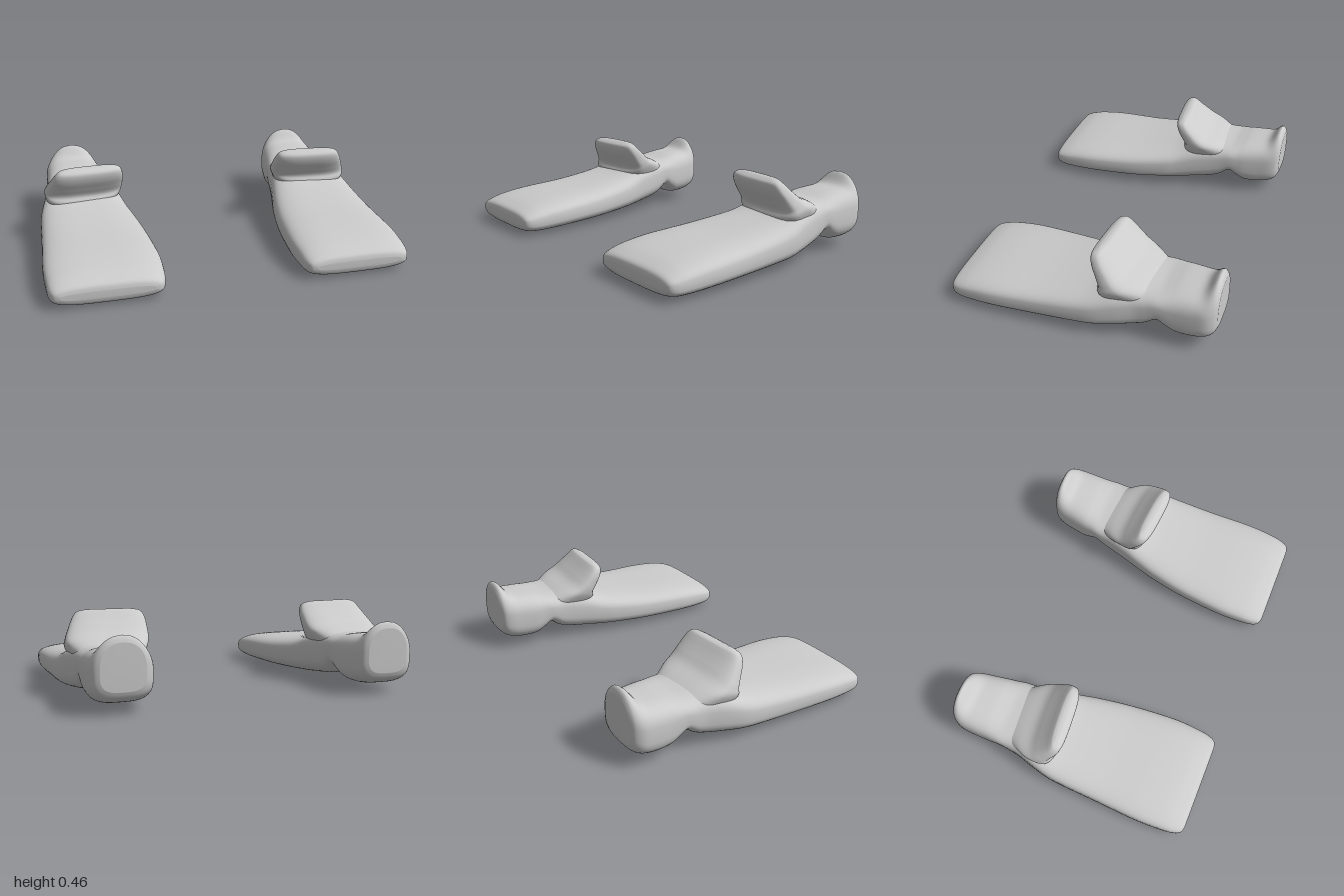
import * as THREE from 'three';

const material = new THREE.MeshStandardMaterial({ color: 0xcccccc });
const SIDES = 48, STEPS = 6;

// Each section: [zA, yA, zB, yB, xInner, xOuter]; A is the lower/front point, B the upper/back one
const section = (z, bottom, top, x0, x1) => [z, bottom, z, top, x0, x1];

const bodySections = [
  section(0.732, 0.055, 0.095, 0.44, 0.93),
  section(0.72, 0.025, 0.125, 0.405, 0.965),
  section(0.68, 0.006, 0.145, 0.385, 0.985),
  section(0.6, 0.0, 0.167, 0.375, 0.995),
  section(0.45, 0.003, 0.187, 0.372, 1.0),
  section(0.2, 0.01, 0.207, 0.395, 0.988),
  section(0.0, 0.02, 0.233, 0.43, 0.98),
  section(-0.1, 0.026, 0.255, 0.455, 0.972),
  section(-0.2, 0.036, 0.29, 0.48, 0.95),
  section(-0.3, 0.052, 0.305, 0.503, 0.922),
  section(-0.36, 0.075, 0.303, 0.514, 0.913),
  section(-0.42, 0.118, 0.303, 0.522, 0.909),
  section(-0.47, 0.083, 0.312, 0.53, 0.907),
  section(-0.52, 0.054, 0.322, 0.537, 0.905),
  section(-0.6, 0.05, 0.33, 0.552, 0.903),
  section(-0.67, 0.064, 0.333, 0.566, 0.897),
  section(-0.71, 0.09, 0.328, 0.585, 0.875),
  section(-0.727, 0.125, 0.31, 0.615, 0.845),
];

// Flap, from its tip down into the body
const flapSections = [
  [-0.08, 0.458, -0.1, 0.461, 0.56, 0.8],
  [-0.052, 0.44, -0.118, 0.458, 0.51, 0.845],
  [-0.047, 0.415, -0.133, 0.446, 0.488, 0.868],
  [-0.058, 0.375, -0.162, 0.418, 0.477, 0.889],
  [-0.083, 0.325, -0.2, 0.385, 0.475, 0.91],
  [-0.102, 0.28, -0.25, 0.347, 0.477, 0.93],
  [-0.09, 0.235, -0.33, 0.315, 0.49, 0.935],
  [-0.14, 0.15, -0.42, 0.275, 0.53, 0.9],
];

// Smooth the section list with Catmull-Rom interpolation
function refine(sections) {
  const out = [], last = sections.length - 1;
  for (let i = 0; i < last; i++) {
    const p = [sections[Math.max(i - 1, 0)], sections[i], sections[i + 1], sections[Math.min(i + 2, last)]];
    for (let k = 0; k < STEPS; k++) {
      const t = k / STEPS;
      out.push(p[1].map((b, c) => {
        const a = p[0][c], d = p[2][c], e = p[3][c];
        return 0.5 * (2 * b + (d - a) * t + (2 * a - 5 * b + 4 * d - e) * t * t + (3 * b - a - 3 * d + e) * t ** 3);
      }));
    }
  }
  out.push(sections[last]);
  return out;
}

// Skin rounded-rectangle rings through the sections, closing both ends
function loft(sections, exponent, side, adjust) {
  const rings = refine(sections), pos = [], index = [];
  const soft = (v) => Math.sign(v) * Math.abs(v) ** (2 / exponent);
  const add = (s, u, v) => {
    const [zA, yA, zB, yB, x0, x1] = s;
    const p = new THREE.Vector3(
      (x0 + x1) / 2 + u * (x1 - x0) / 2,
      (yA + yB) / 2 + v * (yB - yA) / 2,
      (zA + zB) / 2 + v * (zB - zA) / 2);
    adjust(p, v);
    pos.push(p.x * side, p.y, p.z);
  };
  const face = (a, b, c) => (side > 0 ? index.push(a, b, c) : index.push(a, c, b));
  for (const s of rings) {
    for (let j = 0; j < SIDES; j++) {
      const t = (j / SIDES) * Math.PI * 2;
      add(s, soft(Math.cos(t)), soft(Math.sin(t)));
    }
  }
  const end = (rings.length - 1) * SIDES, first = rings.length * SIDES;
  add(rings[0], 0, 0);
  add(rings[rings.length - 1], 0, 0);
  for (let j = 0; j < SIDES; j++) {
    const k = (j + 1) % SIDES;
    for (let i = 0; i < end; i += SIDES) {
      face(i + j, i + SIDES + j, i + k);
      face(i + k, i + SIDES + j, i + SIDES + k);
    }
    face(first, j, k);
    face(first + 1, end + k, end + j);
  }
  const geometry = new THREE.BufferGeometry();
  geometry.setAttribute('position', new THREE.Float32BufferAttribute(pos, 3));
  geometry.setIndex(index);
  geometry.computeVertexNormals();
  return geometry;
}

// Raise the tab at the back of the heel
function heelTab(p, v) {
  if (v <= 0) return;
  const u = (p.x - 0.73) / 0.16;
  p.y += 0.075 * v * Math.max(0, 1 - u * u) * Math.exp(-(((p.z + 0.705) / 0.045) ** 2));
}

// The flap's front edge runs slightly askew
function skewFlap(p) {
  p.z += (p.x - 0.75) * 0.08;
}

export function createModel() {
  const model = new THREE.Group();
  model.name = 'shoePair';
  for (const side of [1, -1]) {
    const shoe = new THREE.Group();
    shoe.name = side > 0 ? 'leftShoe' : 'rightShoe';
    const body = new THREE.Mesh(loft(bodySections, 3.2, side, heelTab), material);
    body.name = 'soleAndHeel';
    const flap = new THREE.Mesh(loft(flapSections, 3, side, skewFlap), material);
    flap.name = 'instepFlap';
    shoe.add(body, flap);
    model.add(shoe);
  }
  return model;
}
